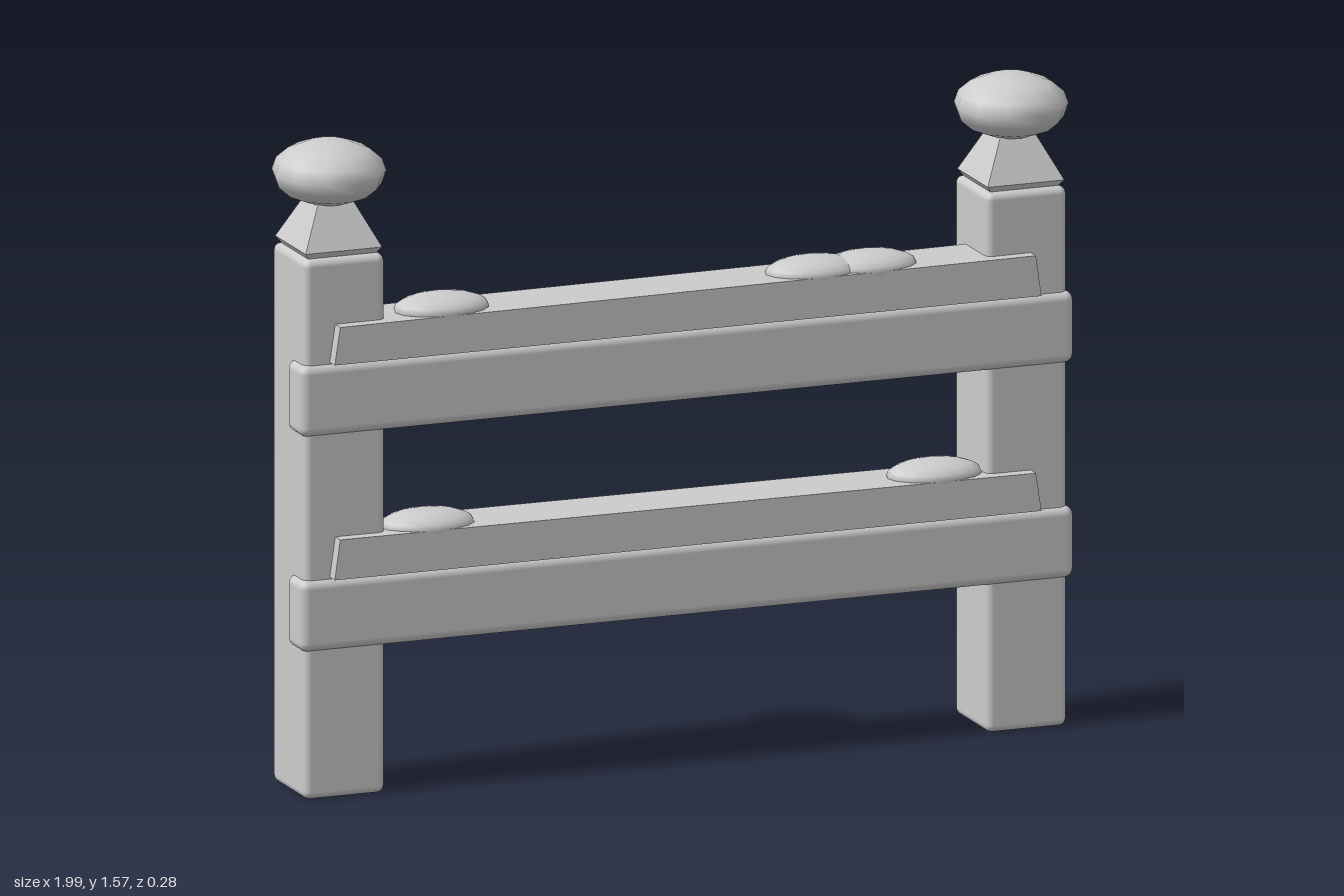
import * as THREE from 'three';
import { RoundedBoxGeometry } from 'three/addons/geometries/RoundedBoxGeometry.js';

const grey = new THREE.MeshStandardMaterial({ color: 0xcccccc });
grey.name = 'plain grey';

function add(parent, name, geometry, x, y, z) {
  const mesh = new THREE.Mesh(geometry, grey);
  mesh.name = name;
  mesh.position.set(x, y, z);
  parent.add(mesh);
  return mesh;
}

// Square frustum with flat sides, given half widths at the bottom and top
function frustum(bottom, top, height) {
  const g = new THREE.CylinderGeometry(top * Math.SQRT2, bottom * Math.SQRT2, height, 4);
  g.rotateY(Math.PI / 4);
  const flat = g.toNonIndexed();
  flat.computeVertexNormals();
  return flat;
}

// Post with a pyramid cap and a flattened ball
function makePost(name, x) {
  const post = new THREE.Group();
  post.name = name;
  post.position.x = x;
  add(post, 'postShaft', new RoundedBoxGeometry(0.205, 1.31, 0.21, 2, 0.018), 0, 0.655, 0);
  add(post, 'capCollar', frustum(0.085, 0.097, 0.016), 0, 1.317, 0);
  add(post, 'capPyramid', frustum(0.097, 0.037, 0.12), 0, 1.385, 0);
  const ball = add(post, 'postBall', new THREE.SphereGeometry(1, 11, 8), 0, 1.495, 0);
  ball.scale.set(0.136, 0.077, 0.14);
  return post;
}

// Slab on a rail, its ends leaning inwards and its top slightly uneven
function slabGeometry(rise) {
  const g = new THREE.BoxGeometry(1.79, 0.095, 0.167);
  const p = g.attributes.position;
  for (let i = 0; i < p.count; i++) {
    if (p.getY(i) < 0) continue;
    const side = Math.sign(p.getX(i));
    p.setX(i, p.getX(i) - side * 0.014);
    p.setY(i, p.getY(i) + side * rise);
  }
  g.computeVertexNormals();
  return g;
}

// Rail with its slab and the low mounds on top
function makeRail(name, y, moundXs, rise) {
  const rail = new THREE.Group();
  rail.name = name;
  rail.position.y = y;
  add(rail, 'railBeam', new RoundedBoxGeometry(1.96, 0.174, 0.098, 3, 0.022), 0, 0, 0.069);
  add(rail, 'railSlab', slabGeometry(rise), -0.008, 0.137, 0.0535);
  for (const x of moundXs) {
    const mound = add(rail, 'mound', new THREE.SphereGeometry(1, 16, 10), x, 0.186, 0.061);
    mound.scale.set(0.118, 0.037, 0.079);
  }
  return rail;
}

export function createModel() {
  const fence = new THREE.Group();
  fence.name = 'fence';
  fence.add(makePost('leftPost', 0.864), makePost('rightPost', -0.864));
  fence.add(makeRail('upperRail', 0.97, [-0.603, 0.338, 0.48], 0.004));
  fence.add(makeRail('lowerRail', 0.448, [-0.64, 0.645], -0.002));
  return fence;
}
